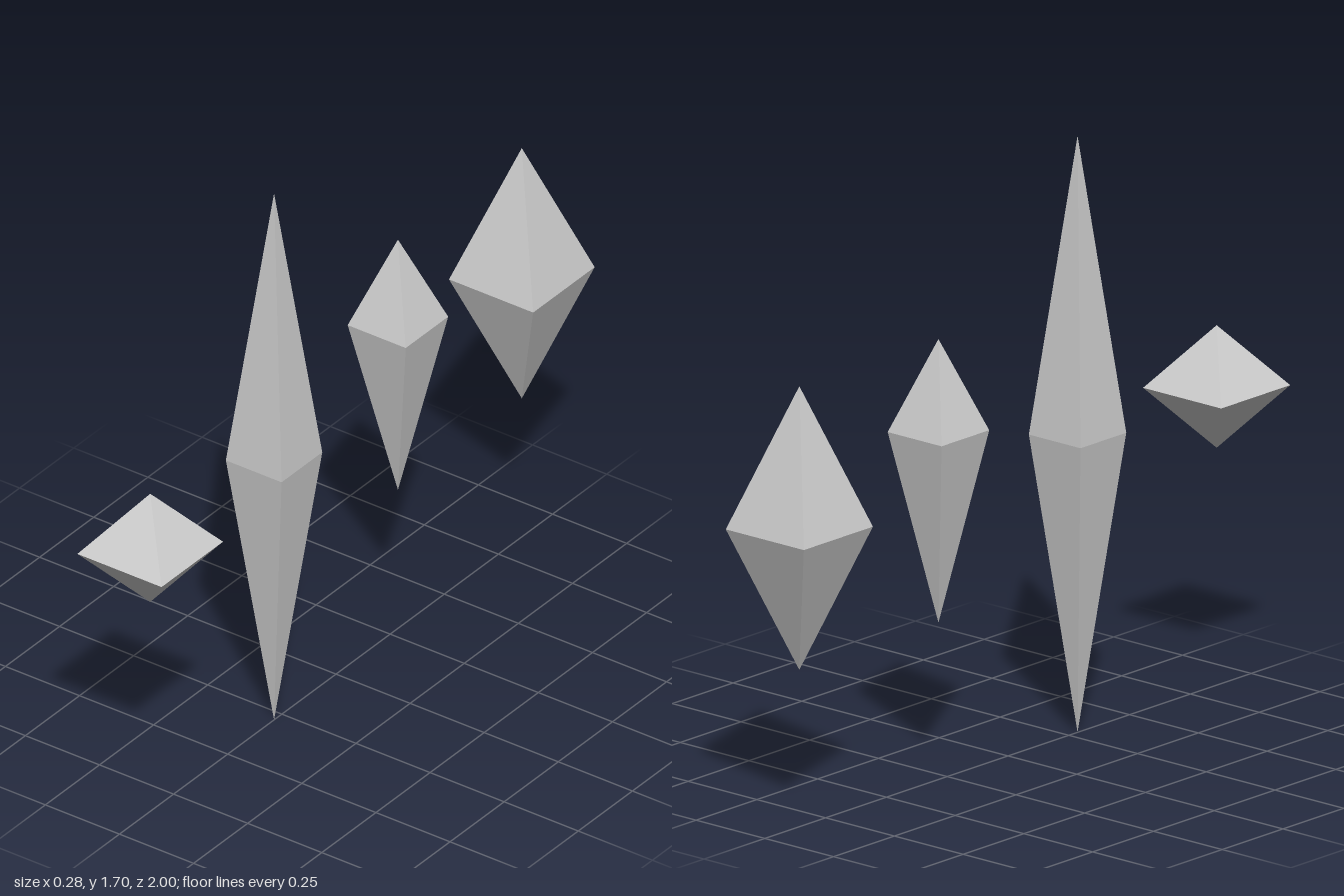
import * as THREE from 'three';

const material = new THREE.MeshStandardMaterial({ color: 0xcccccc, flatShading: true });

// Square bipyramid: half is half the girdle width, the tips may lie at different distances from it
function crystal(name, z, half, bottom, girdle, top) {
  const geometry = new THREE.OctahedronGeometry(1).rotateY(Math.PI / 4);
  const p = geometry.attributes.position;
  const r = half * Math.SQRT2;
  for (let i = 0; i < p.count; i++) {
    const y = p.getY(i);
    p.setXYZ(i, p.getX(i) * r, y * (y > 0 ? top - girdle : girdle - bottom), p.getZ(i) * r);
  }
  geometry.computeVertexNormals();
  const mesh = new THREE.Mesh(geometry, material);
  mesh.name = name;
  mesh.position.set(0, girdle, z);
  return mesh;
}

export function createModel() {
  const group = new THREE.Group();
  group.name = 'crystals';
  group.add(
    crystal('shortCrystal', 0.858, 0.142, 0.69, 0.865, 1.04),
    crystal('tallCrystal', 0.286, 0.094, 0.012, 0.865, 1.716),
    crystal('pendantCrystal', -0.286, 0.098, 0.46, 1.007, 1.27),
    crystal('wideCrystal', -0.858, 0.142, 0.46, 0.865, 1.27),
  );
  return group;
}
